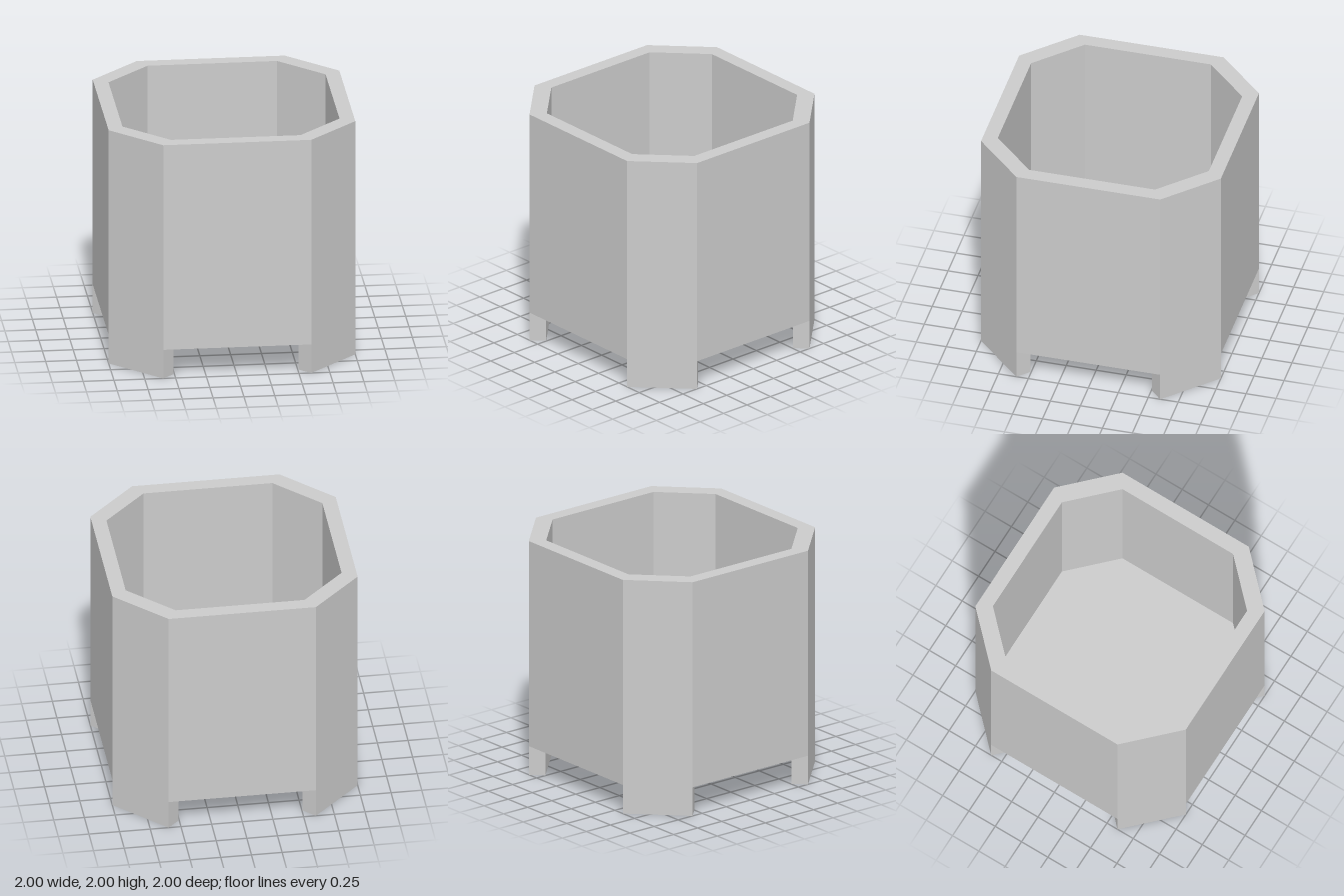
import * as THREE from 'three';

// Octagon with flat sides at +-r and corners at +-c
function octagon(r, c) {
  return [[c, r], [-c, r], [-r, c], [-r, -c], [-c, -r], [c, -r], [r, -c], [r, c]]
    .map(([x, z]) => new THREE.Vector2(x, z));
}

// Extrude a plan outline upward from y0 to y1
function upright(name, shape, y0, y1, material) {
  const geo = new THREE.ExtrudeGeometry(shape, { depth: y1 - y0, bevelEnabled: false });
  geo.rotateX(-Math.PI / 2);
  geo.translate(0, y0, 0);
  const mesh = new THREE.Mesh(geo, material);
  mesh.name = name;
  return mesh;
}

export function createModel() {
  const group = new THREE.Group();
  group.name = 'planter';
  const material = new THREE.MeshStandardMaterial({ color: 0xcccccc, flatShading: true });

  const baseY = 0.245, floorY = 0.37, topY = 2;
  const outer = octagon(1, 0.6), inner = octagon(0.88, 0.525);

  // Hollow eight-sided wall
  const wall = new THREE.Shape(outer);
  wall.holes.push(new THREE.Path(inner));
  group.add(upright('wall', wall, baseY, topY, material));

  // Floor plate closing the bottom
  group.add(upright('floor', new THREE.Shape(inner), baseY, floorY, material));

  // Slab legs continuing the four narrow corner sides
  const t = 0.095;
  const names = ['frontLeftLeg', 'backLeftLeg', 'backRightLeg', 'frontRightLeg'];
  names.forEach((name, i) => {
    const plan = new THREE.Shape([[1, -0.6], [1 - t, -0.6 + t], [0.6 - t, -1 + t], [0.6, -1]]
      .map(([x, y]) => new THREE.Vector2(x, y)));
    const leg = upright(name, plan, 0, baseY, material);
    leg.rotation.y = i * Math.PI / 2;
    group.add(leg);
  });

  return group;
}
